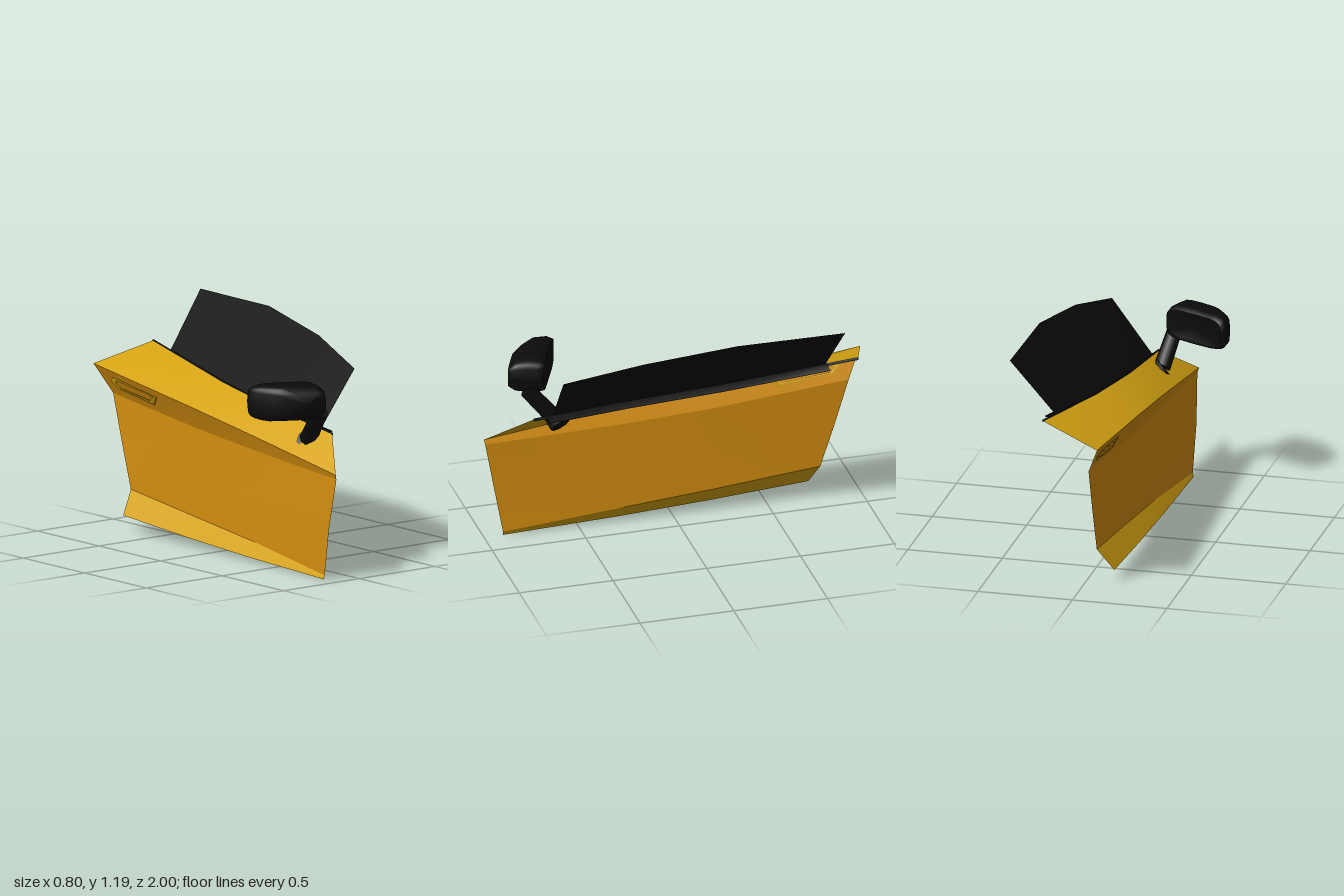
import * as THREE from 'three';

const mat = (name, color) => {
  const m = new THREE.MeshStandardMaterial({ color, side: THREE.DoubleSide });
  m.name = name;
  return m;
};

// Skin between consecutive rows of points
function skin(name, rows, material) {
  const n = rows[0].length, index = [];
  for (let r = 0; r < rows.length - 1; r++)
    for (let i = 0; i < n - 1; i++) {
      const a = r * n + i, b = a + n;
      index.push(a, b, a + 1, a + 1, b, b + 1);
    }
  const geo = new THREE.BufferGeometry();
  geo.setAttribute('position', new THREE.Float32BufferAttribute(rows.flat(2), 3));
  geo.setIndex(index);
  geo.computeVertexNormals();
  const mesh = new THREE.Mesh(geo, material);
  mesh.name = name;
  return mesh;
}

// Character lines of the door, each from front to rear
const bottom = [[-0.153, 0.01, 0.9], [-0.153, 0.03, 0.3], [-0.153, 0.055, -0.2], [-0.153, 0.09, -0.73]];
const lower = [[-0.147, 0.03, 0.9], [-0.107, 0.1, 0.3], [-0.086, 0.15, -0.2], [-0.07, 0.21, -0.77]];
const middle = [[-0.155, 0.28, 0.945], [-0.108, 0.34, 0.3], [-0.086, 0.38, -0.2], [-0.067, 0.44, -0.845]];
const upper = [[-0.147, 0.545, 0.995], [-0.107, 0.58, 0.3], [-0.085, 0.615, -0.2], [-0.065, 0.69, -0.92]];
const crease = [[-0.155, 0.57, 1], [-0.135, 0.665, 0.3], [-0.133, 0.735, -0.2], [-0.13, 0.84, -1]];
const belt = [[0, 0.73, 0.78], [0.03, 0.78, 0.28], [0.085, 0.833, -0.2], [0.18, 0.935, -0.9]];

// Point on a line at a given z
function at(line, z) {
  let i = 0;
  while (i < line.length - 2 && z < line[i + 1][2]) i++;
  const t = (line[i][2] - z) / (line[i][2] - line[i + 1][2]);
  return line[i].map((v, k) => v + (line[i + 1][k] - v) * t);
}

function makeMirror(black) {
  const group = new THREE.Group();
  group.name = 'wingMirror';
  // Housing sections: depth, sideways shift, half width, half height
  const sections = [[0.015, 0, 0, 0], [0.015, 0, 0.165, 0.072], [0, 0, 0.18, 0.082], [0.035, 0, 0.187, 0.095],
    [0.1, 0.015, 0.175, 0.095], [0.15, 0.06, 0.135, 0.085], [0.185, 0.09, 0.1, 0.06], [0.19, 0.09, 0, 0]];
  const rows = sections.map(([d, shift, w, h]) => {
    const row = [];
    for (let i = 0; i <= 20; i++) {
      const a = (i % 20) / 20 * Math.PI * 2, c = Math.cos(a), s = Math.sin(a);
      const u = shift + w * Math.sign(c) * Math.abs(c) ** 0.45;
      const v = h * Math.sign(s) * Math.abs(s) ** 0.45;
      row.push([-0.22 + u * 0.91 - d * 0.41, 0.92 + v, 0.635 + u * 0.41 + d * 0.91]);
    }
    return row;
  });
  group.add(skin('mirrorHousing', rows, black));

  // Stalk and mounting foot
  const rod = (name, from, to, r0, r1) => {
    const a = new THREE.Vector3(...from), b = new THREE.Vector3(...to);
    const dir = b.clone().sub(a);
    const mesh = new THREE.Mesh(new THREE.CylinderGeometry(r1, r0, dir.length(), 8), black);
    mesh.position.copy(a).add(b).multiplyScalar(0.5);
    mesh.quaternion.setFromUnitVectors(new THREE.Vector3(0, 1, 0), dir.normalize());
    mesh.name = name;
    group.add(mesh);
  };
  rod('mirrorStalk', [-0.05, 0.69, 0.645], [-0.085, 0.86, 0.79], 0.045, 0.04);
  rod('mirrorFoot', [-0.025, 0.665, 0.63], [-0.06, 0.695, 0.645], 0.055, 0.055);
  return group;
}

function makeHandle(orange, gold) {
  const group = new THREE.Group();
  group.name = 'doorHandle';
  const outer = [[-0.505, 0.737], [-0.55, 0.687], [-0.85, 0.728], [-0.885, 0.762], [-0.862, 0.787]];
  const loop = s => outer.map(([z, y]) => [-0.695 + (z + 0.695) * s, 0.738 + (y - 0.738) * (s * 2 - 1)]);
  // Lay outline points onto the band under the crease
  const lay = (points, lift) => [...points, points[0]].map(([z, y]) => {
    const a = at(upper, z), b = at(crease, z);
    return [a[0] + (b[0] - a[0]) * (y - a[1]) / (b[1] - a[1]) + lift, y, z];
  });
  const rim = loop(1), inner = loop(0.84), centre = loop(0.5).map(() => [-0.695, 0.738]);
  for (const side of [-1, 1]) {
    group.add(skin('handleRim', [lay(rim, 0), lay(rim, side * 0.004), lay(inner, side * 0.004), lay(inner, 0)], gold));
    group.add(skin('handleGrip', [lay(loop(0.78), side * 0.003), lay(centre, side * 0.003)], orange));
  }
  return group;
}

export function createModel() {
  const model = new THREE.Group();
  model.name = 'carDoor';
  const orange = mat('orangePaint', 0xd48e10);
  const gold = mat('goldPaint', 0xd4a212);
  const black = mat('black', 0x0b0b0b);

  // Painted skin
  model.add(
    skin('sillStrip', [bottom, lower], gold),
    skin('doorPanel', [lower, middle, upper], orange),
    skin('creaseBand', [upper, crease], orange),
    skin('shoulder', [crease, belt], gold),
  );

  // Window leaning inwards
  const stations = [0.68, 0.28, -0.2, -0.73];
  const windowFoot = stations.map(z => at(belt, z));
  const windowTop = [[0.225, 1.03, 0.685], [0.315, 1.13, 0.285], [0.38, 1.2, -0.2], [0.39, 1.2, -0.77]];
  model.add(skin('window', [windowFoot, windowTop], black));

  // Inner ledge and thin belt trim
  const offset = (line, x, y) => line.map(p => [p[0] + x, p[1] + y, p[2]]);
  const ledge = [0.71, 0.28, -0.2, -0.74].map(z => at(belt, z));
  model.add(
    skin('innerLedge', [offset(ledge, 0, 0.006), offset(ledge, 0.055, -0.008), offset(ledge, 0.05, -0.014), offset(ledge, 0.005, -0.01)], black),
    skin('beltTrim', [offset(belt, -0.004, 0.002), offset(belt, 0.003, 0.008), offset(belt, 0.008, -0.006)], black),
  );

  model.add(makeMirror(black), makeHandle(orange, gold));
  return model;
}
